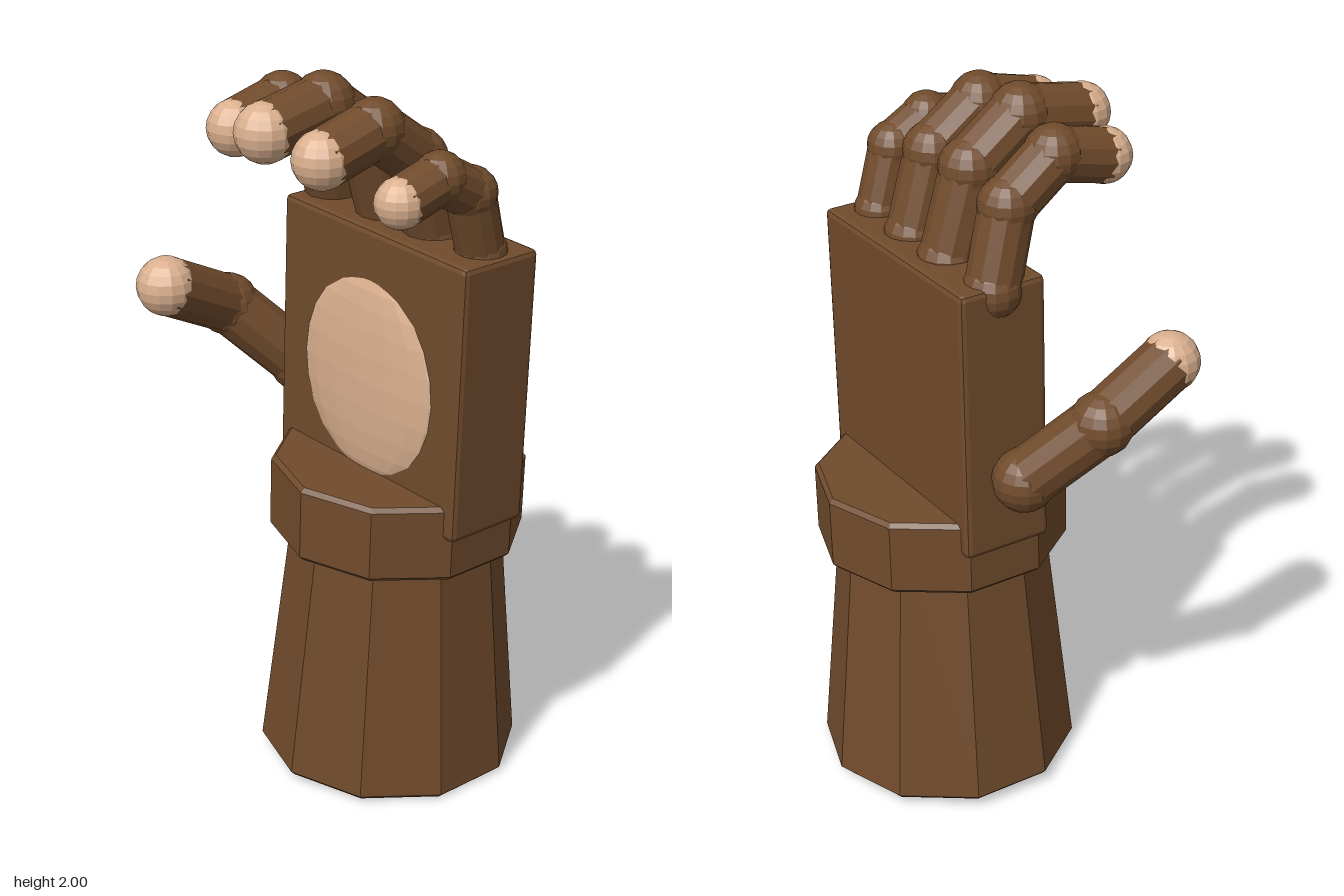
import * as THREE from 'three';
import { RoundedBoxGeometry } from 'three/addons/geometries/RoundedBoxGeometry.js';

export function createModel() {
  const brown = new THREE.MeshStandardMaterial({ color: 0x704b2c });
  brown.name = 'brown leather';
  brown.flatShading = true;
  const pale = new THREE.MeshStandardMaterial({ color: 0xdab08f });
  pale.name = 'pale skin';
  pale.flatShading = true;

  const model = new THREE.Group();
  model.name = 'hand';

  const add = (parent, name, geometry, material, x = 0, y = 0, z = 0) => {
    const mesh = new THREE.Mesh(geometry, material);
    mesh.name = name;
    mesh.position.set(x, y, z);
    parent.add(mesh);
    return mesh;
  };

  // Ten-sided solid with small bevels, from y0 to y1
  const tenSided = (r0, r1, y0, y1, b = 0.012) => new THREE.LatheGeometry([
    [0, y0], [r0 - b, y0], [r0, y0 + b], [r1, y1 - b], [r1 - b, y1], [0, y1],
  ].map(([x, y]) => new THREE.Vector2(x, y)), 10);

  // Forearm, cuff and palm lean together
  const arm = new THREE.Group();
  arm.name = 'armAndPalm';
  arm.position.set(0.067, 0.015, -0.066);
  arm.rotation.z = -0.0436;
  model.add(arm);
  add(arm, 'forearm', tenSided(0.36, 0.28, 0, 0.8), brown);
  add(arm, 'cuff', tenSided(0.347, 0.347, 0.675, 0.89), brown);
  add(arm, 'palm', new RoundedBoxGeometry(0.7, 0.765, 0.254, 1, 0.015), brown, 0, 1.18, 0);
  const pad = add(arm, 'palmPad', new THREE.SphereGeometry(1, 16, 12), pale, 0, 1.152, 0.116);
  pad.scale.set(0.262, 0.285, 0.04);

  // Cylinder between two points
  const up = new THREE.Vector3(0, 1, 0);
  const segment = (parent, name, a, b, r) => {
    const dir = b.clone().sub(a);
    const mesh = add(parent, name, new THREE.CylinderGeometry(r, r, dir.length(), 12), brown);
    mesh.position.copy(a).add(b).multiplyScalar(0.5);
    mesh.quaternion.setFromUnitVectors(up, dir.normalize());
  };

  // Jointed digit: brown joints and segments, pale tip
  const digit = (name, r, points) => {
    const group = new THREE.Group();
    group.name = name;
    model.add(group);
    const joints = points.map((p) => new THREE.Vector3(...p));
    joints.forEach((p, i) => {
      const tip = i === joints.length - 1;
      const ball = new THREE.SphereGeometry(tip ? r : r * 1.06, 14, 10);
      add(group, tip ? 'fingertip' : 'joint', ball, tip ? pale : brown, p.x, p.y, p.z);
      if (i > 0) segment(group, 'fingerSegment', joints[i - 1], p, r * 0.985);
    });
  };

  digit('indexFinger', 0.075, [[-0.16, 1.56, -0.065], [-0.135, 1.77, -0.005], [-0.13, 1.875, 0.135], [-0.13, 1.835, 0.29]]);
  digit('middleFinger', 0.079, [[0.045, 1.56, -0.072], [0.052, 1.8, 0], [0.057, 1.913, 0.155], [0.057, 1.875, 0.345]]);
  digit('ringFinger', 0.076, [[0.222, 1.56, -0.07], [0.232, 1.78, -0.003], [0.237, 1.885, 0.145], [0.237, 1.84, 0.315]]);
  digit('littleFinger', 0.066, [[0.4, 1.56, -0.07], [0.413, 1.73, -0.018], [0.416, 1.79, 0.09], [0.417, 1.755, 0.22]]);
  digit('thumb', 0.082, [[-0.295, 1.06, -0.05], [-0.408, 1.235, 0.11], [-0.392, 1.345, 0.33]]);

  return model;
}
